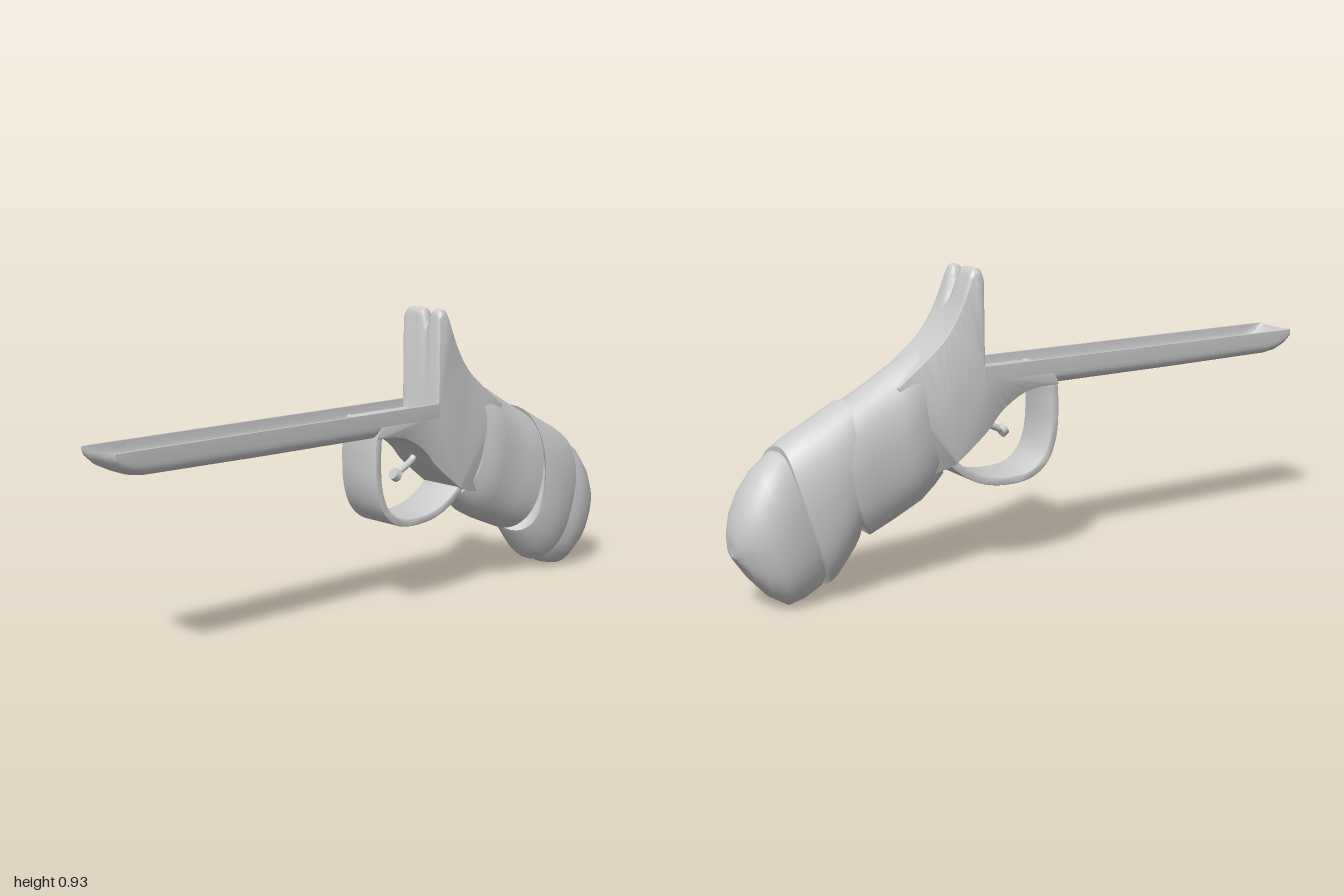
import * as THREE from 'three';
import { toCreasedNormals } from 'three/addons/utils/BufferGeometryUtils.js';

const material = new THREE.MeshStandardMaterial({ color: 0xcccccc, side: THREE.DoubleSide });

function addPart(group, name, geometry, crease = 0.7) {
  const mesh = new THREE.Mesh(toCreasedNormals(geometry, crease), material);
  mesh.name = name;
  group.add(mesh);
  return mesh;
}

// Skin a list of closed rings (arrays of Vector3) and cap both ends.
function loft(rings) {
  const n = rings[0].length, pos = [], idx = [];
  for (const ring of rings) for (const p of ring) pos.push(p.x, p.y, p.z);
  for (let r = 0; r < rings.length - 1; r++) {
    for (let i = 0; i < n; i++) {
      const a = r * n + i, b = r * n + (i + 1) % n;
      idx.push(a, b, a + n, b, b + n, a + n);
    }
  }
  const last = (rings.length - 1) * n;
  for (let i = 0; i < n / 2 - 1; i++) { // caps bridge opposite points of the ring
    const j = n - 1 - i;
    idx.push(i, j, i + 1, i + 1, j, j - 1);
    idx.push(last + i, last + i + 1, last + j, last + i + 1, last + j - 1, last + j);
  }
  // turn the faces outward if the enclosed volume is negative
  let volume = 0;
  const at = (i) => new THREE.Vector3().fromArray(pos, i * 3);
  for (let i = 0; i < idx.length; i += 3) volume += at(idx[i]).dot(at(idx[i + 1]).cross(at(idx[i + 2])));
  if (volume < 0) idx.reverse();
  const geometry = new THREE.BufferGeometry();
  geometry.setAttribute('position', new THREE.Float32BufferAttribute(pos, 3));
  geometry.setIndex(idx);
  return geometry;
}

// Grip section: [topZ, topY, bottomZ, bottomY, halfWidth]; bow and skew slide the sides along the grip.
function gripRing([tz, ty, bz, by, w], bow, skew) {
  const ring = [], power = (v) => Math.sign(v) * Math.abs(v) ** 0.85;
  for (let i = 0; i < 40; i++) {
    const a = (i + 0.5) / 40 * Math.PI * 2, c = power(Math.cos(a)), s = power(Math.sin(a));
    const slide = bow * s * s + skew * s;
    ring.push(new THREE.Vector3(w * s,
      (ty + by) / 2 + c * (ty - by) / 2 - 0.5 * slide,
      (tz + bz) / 2 + c * (tz - bz) / 2 - 0.86 * slide));
  }
  return ring;
}

const gripPart = (sections, bow, skew) => loft(sections.map((s) => gripRing(s, bow, skew)));

// Side outline drawn in (z, y), given thickness across x.
function sideExtrude(shape, width, steps, bevel) {
  const geometry = new THREE.ExtrudeGeometry(shape, {
    depth: width - 2 * bevel, steps, curveSegments: 6,
    bevelEnabled: bevel > 0, bevelSize: bevel, bevelThickness: bevel, bevelOffset: -bevel, bevelSegments: 2,
  });
  geometry.translate(0, 0, -(width / 2 - bevel));
  return geometry.rotateY(-Math.PI / 2);
}

const vec2 = (list) => list.map(([x, y]) => new THREE.Vector2(x, y));

// Open trough section at z, with outer bottom yb and half width w.
function troughRing(z, yb, w) {
  const ring = [], top = 0.642, n = 18;
  const arc = (halfW, depth, e, back) => {
    for (let i = 0; i <= n; i++) {
      const a = Math.PI * (back ? n - i : i) / n, c = Math.cos(a);
      ring.push(new THREE.Vector3(halfW * Math.sign(c) * Math.abs(c) ** e, top - depth * Math.abs(Math.sin(a)) ** e, z));
    }
  };
  arc(w, top - yb, 0.4, false);
  arc(w - 0.008, Math.max(0.003, top - yb - 0.016), 0.6, true);
  return ring;
}

export function createModel() {
  const model = new THREE.Group();
  model.name = 'toyPistol';

  // Long open barrel with an upswept front lip
  addPart(model, 'barrelTrough', loft([
    [1, 0.63, 0.072], [0.992, 0.612, 0.081], [0.97, 0.59, 0.083], [0.935, 0.573, 0.083],
    [0.89, 0.566, 0.083], [0.5, 0.562, 0.083], [0, 0.56, 0.083], [-0.21, 0.56, 0.083],
  ].map((r) => troughRing(...r))));

  // Frame: deck, upright rear sight and neck in one outline
  const outline = new THREE.Shape();
  outline.moveTo(0.055, 0.566);
  outline.lineTo(0.04, 0.6);
  outline.lineTo(0.01, 0.615);
  outline.lineTo(-0.2, 0.615);
  outline.lineTo(-0.207, 0.65);
  outline.lineTo(-0.209, 0.91);
  outline.splineThru(vec2([[-0.216, 0.93], [-0.235, 0.935], [-0.252, 0.915], [-0.29, 0.815], [-0.337, 0.742], [-0.4, 0.685], [-0.5, 0.61]]));
  outline.lineTo(-0.45, 0.32);
  outline.lineTo(-0.31, 0.355);
  outline.splineThru(vec2([[-0.203, 0.44], [-0.15, 0.497], [-0.08, 0.542], [-0.016, 0.558], [0.055, 0.56]]));
  const frame = sideExtrude(outline, 0.164, 32, 0.004);
  // notch the top of the sight and round its two lobes
  const p = frame.attributes.position;
  for (let i = 0; i < p.count; i++) {
    const x = p.getX(i), y = p.getY(i);
    const k = THREE.MathUtils.smoothstep(y, 0.8, 0.92);
    const notch = 0.05 * Math.exp(-(((x - 0.02) / 0.013) ** 2));
    const edge = 0.015 * THREE.MathUtils.smoothstep(Math.abs(x), 0.062, 0.082) ** 2;
    p.setY(i, y - k * (notch + edge));
  }
  addPart(model, 'frameAndRearSight', frame);

  // Small pin and cross bar on the deck
  const pin = addPart(model, 'deckPin', new THREE.CylinderGeometry(0.012, 0.012, 0.012, 16));
  pin.position.set(0, 0.617, -0.185);
  const bar = addPart(model, 'deckBar', new THREE.CylinderGeometry(0.012, 0.012, 0.152, 14).rotateZ(Math.PI / 2));
  bar.position.set(0, 0.606, 0.03);

  // Trigger guard: a wide strap following a curve
  const path = new THREE.CatmullRomCurve3([
    [0.042, 0.575], [0.046, 0.5], [0.04, 0.4], [0.012, 0.33], [-0.04, 0.289], [-0.12, 0.279],
    [-0.2, 0.29], [-0.27, 0.322], [-0.345, 0.385],
  ].map(([z, y]) => new THREE.Vector3(z, y, 0)));
  const outer = [], inner = [];
  for (let i = 0; i <= 40; i++) {
    const c = path.getPoint(i / 40), t = path.getTangent(i / 40);
    outer.push(new THREE.Vector2(c.x - t.y * -0.012, c.y + t.x * -0.012));
    inner.push(new THREE.Vector2(c.x + t.y * -0.012, c.y - t.x * -0.012));
  }
  addPart(model, 'triggerGuard', sideExtrude(new THREE.Shape([...outer, ...inner.reverse()]), 0.156, 1, 0.004));

  // Trigger: thin stem with a button on its end
  const stem = new THREE.CatmullRomCurve3([
    new THREE.Vector3(0, 0.5, -0.21), new THREE.Vector3(0, 0.455, -0.165), new THREE.Vector3(0, 0.423, -0.105),
  ]);
  addPart(model, 'triggerStem', new THREE.TubeGeometry(stem, 12, 0.011, 10, false));
  const button = addPart(model, 'triggerButton', new THREE.CylinderGeometry(0.018, 0.021, 0.02, 16).rotateX(1.1));
  button.position.set(0, 0.42, -0.097);

  // Grip: two cloth wraps and the rounded butt
  addPart(model, 'frontWrap', gripPart([
    [-0.405, 0.66, -0.34, 0.355, 0.084], [-0.40, 0.7, -0.322, 0.32, 0.098], [-0.435, 0.683, -0.355, 0.288, 0.109],
    [-0.48, 0.66, -0.4, 0.25, 0.114], [-0.54, 0.625, -0.45, 0.224, 0.106], [-0.59, 0.597, -0.5, 0.203, 0.115],
    [-0.66, 0.56, -0.575, 0.172, 0.118], [-0.67, 0.53, -0.59, 0.205, 0.096],
  ], 0.05, 0), 0.8);
  addPart(model, 'diagonalWrap', gripPart([
    [-0.66, 0.54, -0.645, 0.185, 0.092], [-0.645, 0.58, -0.626, 0.155, 0.112], [-0.68, 0.562, -0.642, 0.128, 0.118],
    [-0.735, 0.532, -0.67, 0.09, 0.12], [-0.80, 0.5, -0.697, 0.056, 0.117], [-0.85, 0.47, -0.716, 0.04, 0.106],
    [-0.845, 0.43, -0.74, 0.09, 0.088],
  ], 0.035, 0.025), 0.8);
  addPart(model, 'butt', gripPart([
    [-0.78, 0.45, -0.7, 0.1, 0.08], [-0.862, 0.455, -0.735, 0.04, 0.1], [-0.915, 0.41, -0.79, 0.014, 0.112],
    [-0.957, 0.353, -0.838, 0.003, 0.108], [-0.982, 0.3, -0.89, 0.035, 0.09], [-0.996, 0.245, -0.935, 0.085, 0.06],
    [-0.998, 0.205, -0.965, 0.13, 0.034], [-0.99, 0.175, -0.982, 0.16, 0.01],
  ], 0.005, 0), 1.2);

  return model;
}
